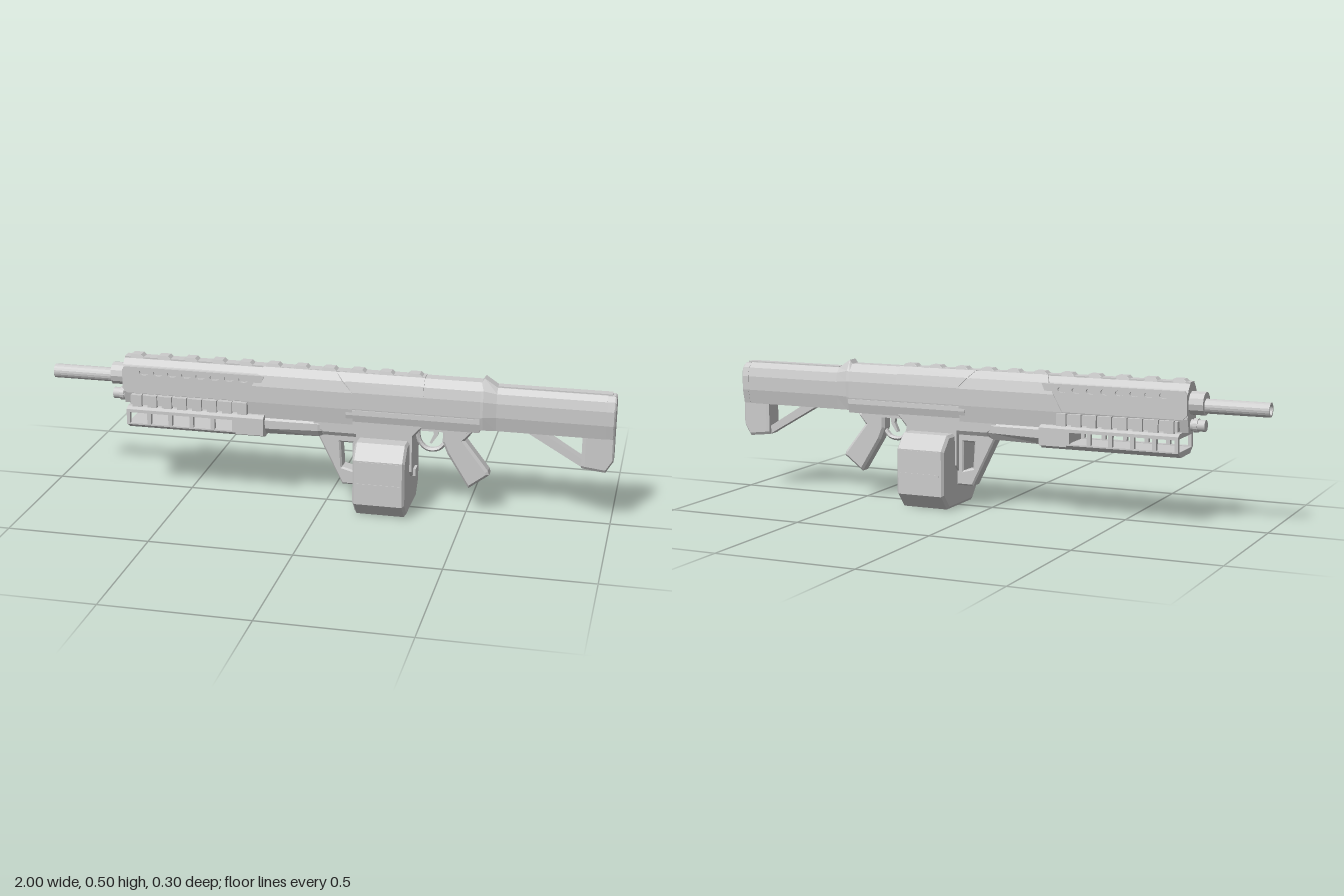
import * as THREE from 'three';

const material = new THREE.MeshStandardMaterial({ color: 0xcccccc, flatShading: true });
const smooth = new THREE.MeshStandardMaterial({ color: 0xcccccc });

// Skin through mirrored half profiles [z, y] (top to bottom); x may be a rule of y.
function loft(sections) {
  const rings = sections.map(([x, half]) => {
    const mirrored = half.filter(p => p[0] > 0).reverse().map(([z, y]) => [-z, y]);
    return [...half, ...mirrored].map(([z, y]) => [typeof x === 'function' ? x(y) : x, y, z]);
  });
  const n = rings[0].length, pos = [];
  const tri = (a, b, c) => pos.push(...a, ...b, ...c);
  for (let s = 0; s < rings.length - 1; s++) {
    const a = rings[s], b = rings[s + 1];
    for (let i = 0; i < n; i++) {
      const j = (i + 1) % n;
      tri(a[i], a[j], b[j]);
      tri(a[i], b[j], b[i]);
    }
  }
  const first = rings[0], last = rings[rings.length - 1];
  for (let i = 1; i < n - 1; i++) {
    tri(first[0], first[i + 1], first[i]);
    tri(last[0], last[i], last[i + 1]);
  }
  const geo = new THREE.BufferGeometry();
  geo.setAttribute('position', new THREE.Float32BufferAttribute(pos, 3));
  geo.computeVertexNormals();
  return geo;
}

// Side outline [x, y] extruded from z0 to z1, with optional holes.
function side(points, z0, z1, holes = [], bevel = 0) {
  const shape = new THREE.Shape(points.map(p => new THREE.Vector2(...p)));
  shape.holes = holes;
  const geo = new THREE.ExtrudeGeometry(shape, {
    depth: z1 - z0 - 2 * bevel, bevelEnabled: bevel > 0, bevelThickness: bevel,
    bevelSize: bevel, bevelOffset: -bevel, bevelSegments: 1, curveSegments: 6,
  });
  return geo.translate(0, 0, z0 + bevel);
}

const polyHole = pts => new THREE.Path(pts.map(p => new THREE.Vector2(...p)));
const rect = (x0, x1, y0, y1) => [[x0, y0], [x1, y0], [x1, y1], [x0, y1]];
const box = (x0, x1, y0, y1, z0, z1) => new THREE.BoxGeometry(x1 - x0, y1 - y0, z1 - z0)
  .translate((x0 + x1) / 2, (y0 + y1) / 2, (z0 + z1) / 2);
const rod = (x0, x1, y, r, sides = 20) => new THREE.CylinderGeometry(r, r, x1 - x0, sides)
  .rotateZ(Math.PI / 2).translate((x0 + x1) / 2, y, 0);

export function createModel() {
  const model = new THREE.Group();
  const add = (name, geo, mat = material) => {
    const mesh = new THREE.Mesh(geo, mat);
    mesh.name = name;
    model.add(mesh);
    return mesh;
  };

  // Barrel: hollow at the muzzle
  const barrelProfile = [[0.018, 0.85], [0.018, 1], [0.025, 1], [0.025, 0.7]].map(p => new THREE.Vector2(...p));
  const barrel = new THREE.LatheGeometry(barrelProfile, 20).rotateZ(Math.PI / 2).translate(0, 0.41, 0);
  add('barrel', barrel).material = new THREE.MeshStandardMaterial({ color: 0xcccccc, flatShading: true, side: THREE.DoubleSide });
  add('barrelCollar', rod(-0.78, -0.7, 0.418, 0.04, 12));
  add('gasTube', rod(-0.78, -0.25, 0.343, 0.02, 16), smooth);
  add('gasTubeCap', rod(-0.755, -0.74, 0.343, 0.024, 16));

  // Handguard core with perforated side plates
  add('handguardCore', loft([-0.73, -0.2].map(x => [x, [[0.022, 0.484], [0.04, 0.465], [0.044, 0.455], [0.044, 0.366], [0.03, 0.32]]])));
  for (const s of [1, -1]) {
    const holes = [];
    for (let i = 0; i < 8; i++) {
      holes.push(new THREE.Path().absellipse(-0.65 + i * 0.052, 0.443, 0.018, 0.01, 0, Math.PI * 2));
    }
    const [z0, z1] = s > 0 ? [0.043, 0.055] : [-0.055, -0.043];
    add('handguardPlate', side([[-0.73, 0.38], [-0.715, 0.366], [-0.25, 0.366], [-0.21, 0.462], [-0.72, 0.462], [-0.73, 0.45]], z0, z1, holes));
    // Side accessory rail
    add('sideRail', box(-0.7, -0.27, 0.325, 0.36, s * 0.045 - 0.015, s * 0.045 + 0.015));
    for (let i = 0; i < 8; i++) {
      const x = -0.69 + i * 0.055;
      add('sideRailTooth', box(x, x + 0.034, 0.32, 0.363, s * 0.062 - 0.008, s * 0.062 + 0.008));
    }
  }

  // Top rail
  add('topRail', box(-0.73, 0.35, 0.475, 0.489, -0.02, 0.02));
  for (let i = 0; i < 11; i++) {
    const x = -0.715 + i * 0.1;
    add('topRailTooth', loft([[x, [[0.018, 0.489], [0.022, 0.48]]], [x + 0.01, [[0.018, 0.498], [0.022, 0.48]]],
      [x + 0.045, [[0.018, 0.498], [0.022, 0.48]]], [x + 0.055, [[0.018, 0.489], [0.022, 0.48]]]]));
  }

  // Slotted forend: open windows through both walls
  const windows = () => Array.from({ length: 5 }, (_, i) => {
    const x = -0.698 + i * 0.078;
    return polyHole([[x, 0.261], [x + 0.064, 0.261], [x + 0.064, 0.301], [x, 0.301]]);
  });
  for (const z of [-0.08, 0.064]) {
    add('forendWall', side(rect(-0.71, -0.21, 0.256, 0.312), z, z + 0.016, windows()));
  }
  add('forendTop', loft([-0.71, -0.21].map(x => [x, [[0.062, 0.32], [0.08, 0.311], [0.078, 0.303]]])));
  add('forendTrough', loft([-0.71, -0.21].map(x => [x, [[0.08, 0.258], [0.05, 0.238]]])));
  add('forendRear', box(-0.31, -0.21, 0.25, 0.31, -0.077, 0.077));
  add('pumpSleeve', loft([[-0.21, [[0.035, 0.318], [0.055, 0.3], [0.055, 0.27], [0.035, 0.246]]],
    [-0.02, [[0.035, 0.318], [0.052, 0.3], [0.052, 0.275], [0.035, 0.25]]],
    [0, [[0.03, 0.31], [0.045, 0.3], [0.045, 0.275], [0.03, 0.258]]]]));

  // Receiver and its raised armour
  const body = [[0.022, 0.486], [0.044, 0.46], [0.052, 0.425], [0.052, 0.366], [0.045, 0.32]];
  const armour = [[0.024, 0.488], [0.048, 0.463], [0.058, 0.425], [0.058, 0.366], [0.05, 0.308]];
  add('receiver', loft([[-0.22, body], [0.545, body]]));
  const frontEdge = y => -0.286 + Math.max(0, y - 0.366) * 0.54;
  const backEdge = y => 0.04 + Math.min(0.488 - y, 0.063);
  add('frontArmour', loft([[frontEdge, armour], [backEdge, armour]]));
  const lower = [[0.056, 0.362], [0.057, 0.345], [0.048, 0.312]];
  add('lowerArmour', loft([[0.08, lower], [0.545, lower]]));
  const cover = [[0.024, 0.488], [0.047, 0.463], [0.055, 0.43]];
  add('topCover', loft([[y => 0.05 + (0.488 - y), cover], [0.35, cover]]));
  add('magazineWell', loft([[-0.035, [[0.05, 0.325], [0.05, 0.3], [0.045, 0.292]]], [0.0, [[0.05, 0.325], [0.05, 0.275], [0.04, 0.26]]],
    [0.305, [[0.05, 0.325], [0.05, 0.275], [0.04, 0.26]]], [0.345, [[0.05, 0.325], [0.05, 0.318], [0.045, 0.312]]]]));

  // Bracket ahead of the magazine
  add('magazineBracket', side([[-0.03, 0.28], [-0.03, 0.262], [0.062, 0.076], [0.125, 0.076], [0.125, 0.28]], -0.03, 0.03,
    [polyHole([[0.062, 0.14], [0.098, 0.13], [0.098, 0.232], [0.056, 0.232]])], 0.006));

  // Octagonal drum magazine
  const drum = d => [[0.1 - d / 2, 0.263 - d], [0.146 - d, 0.213 - d / 2], [0.146 - d, 0.052 + d / 2], [0.1 - d / 2, d]];
  add('drumMagazine', loft([[0.122, drum(0.01)], [0.13, drum(0)], [0.297, drum(0)], [0.305, drum(0.01)]]));
  for (const s of [1, -1]) {
    for (const y of [0.125, 0.205]) add('drumRib', box(0.14, 0.29, y - 0.004, y + 0.004, s * 0.145 - 0.003, s * 0.145 + 0.003));
  }
  add('magazineTower', loft([0.115, 0.313].map(x => [x, [[0.05, 0.3], [0.05, 0.15], [0.03, 0.128]]])));
  add('magazineLatch', box(0.305, 0.322, 0.125, 0.15, -0.02, 0.02));

  // Trigger group and grip
  const guard = new THREE.CatmullRomCurve3([[0.322, 0.32], [0.332, 0.25], [0.36, 0.224], [0.4, 0.228], [0.425, 0.255]]
    .map(([x, y]) => new THREE.Vector3(x, y, 0)));
  add('triggerGuard', new THREE.TubeGeometry(guard, 16, 0.008, 6).scale(1, 1, 1.6));
  add('trigger', side([[0.375, 0.32], [0.4, 0.32], [0.395, 0.275], [0.375, 0.245], [0.368, 0.248], [0.382, 0.28]], -0.008, 0.008));
  add('gripMount', box(0.34, 0.5, 0.3, 0.325, -0.035, 0.035));
  add('grip', side([[0.415, 0.31], [0.415, 0.26], [0.432, 0.218], [0.508, 0.096], [0.58, 0.15], [0.575, 0.165], [0.493, 0.27], [0.525, 0.31]],
    -0.028, 0.028, [], 0.009));

  // Stock: neck, tube, strut and butt
  const neck = [[0.02, 0.5], [0.045, 0.462], [0.054, 0.425], [0.054, 0.37], [0.042, 0.32]];
  const tube = [[0.02, 0.47], [0.037, 0.452], [0.045, 0.42], [0.045, 0.37], [0.034, 0.319]];
  add('stockNeck', loft([[0.545, body], [0.555, neck], [0.6, tube]]));
  add('stockTube', loft([[0.59, tube], [0.97, tube]]));
  add('stockTopStrip', box(0.6, 0.985, 0.462, 0.474, -0.016, 0.016));
  add('stockStrut', side([[0.69, 0.325], [0.75, 0.325], [0.9, 0.233], [0.9, 0.204]], -0.02, 0.02));
  const butt = (bottom, d) => [[0.02, 0.467 - d], [0.037, 0.452 - d], [0.045 - d, 0.42], [0.045 - d, 0.37], [0.034 - d, 0.32], [0.034 - d, bottom + 0.01], [0.028 - d, bottom]];
  add('butt', loft([[0.893, butt(0.207, 0.002)], [0.905, butt(0.205, 0)], [0.975, butt(0.197, 0)], [0.995, butt(0.23, 0)], [1, butt(0.236, 0.005)]]));
  add('buttPlate', loft([[0.972, butt(0.32, -0.001)], [0.994, butt(0.32, -0.001)]]));

  return model;
}
